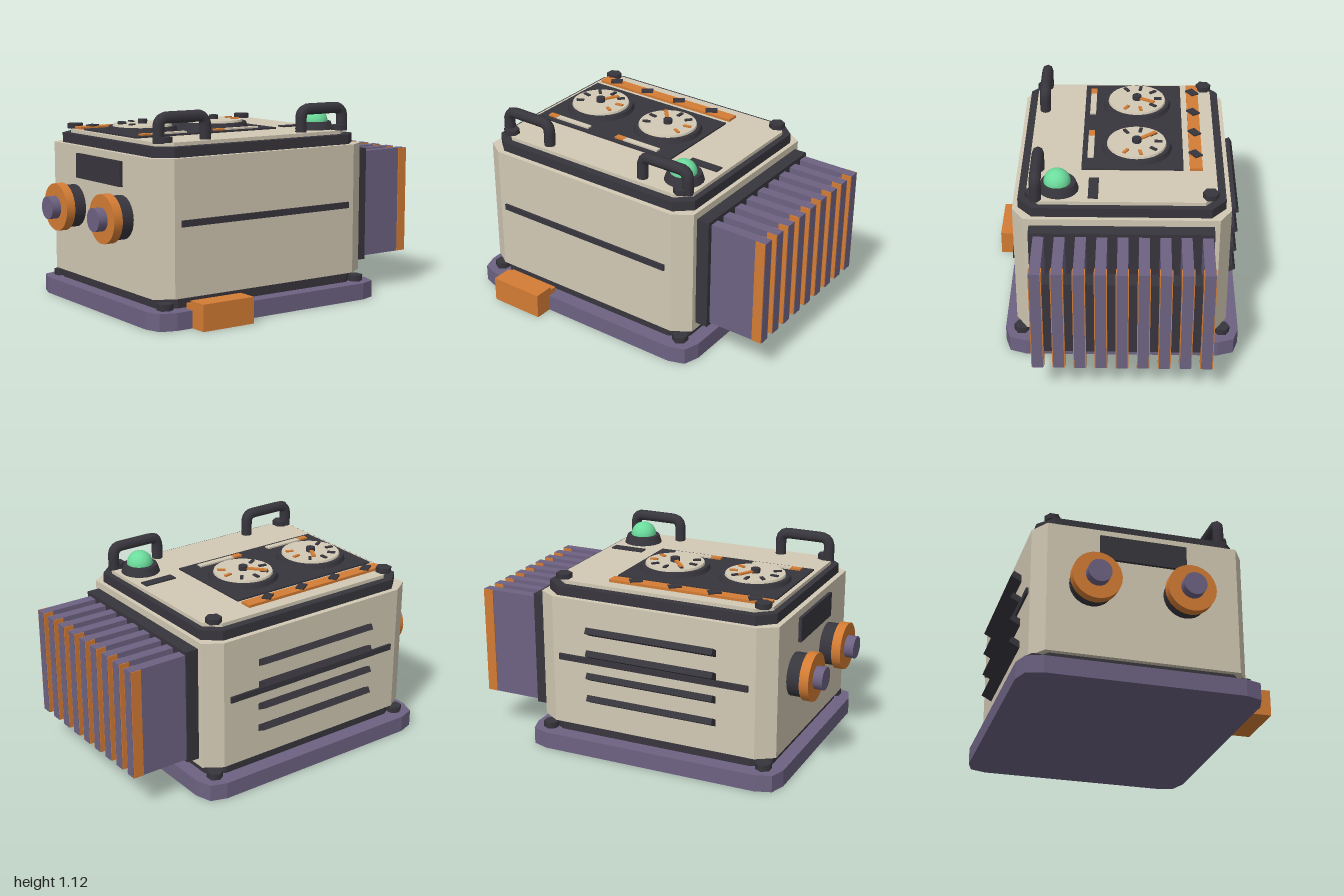
import * as THREE from 'three';

const paint = (name, color) => {
  const m = new THREE.MeshStandardMaterial({ color });
  m.name = name;
  return m;
};

export function createModel() {
  const cream = paint('cream', 0xd2c9b4), purple = paint('purple', 0x6d6282), dark = paint('charcoal', 0x38363d);
  const orange = paint('orange', 0xd47c34), green = paint('green', 0x6cdc9c);
  const root = new THREE.Group();
  root.name = 'fieldInstrument';

  const add = (name, geo, mat, parent = root) => {
    const mesh = new THREE.Mesh(geo, mat);
    mesh.name = name;
    parent.add(mesh);
    return mesh;
  };
  // Box given by its extents on each axis
  const box = (name, mat, x0, x1, y0, y1, z0, z1, parent) => {
    const m = add(name, new THREE.BoxGeometry(x1 - x0, y1 - y0, z1 - z0), mat, parent);
    m.position.set((x0 + x1) / 2, (y0 + y1) / 2, (z0 + z1) / 2);
    return m;
  };
  // Upright cylinder standing on y0
  const disc = (name, mat, x, y0, z, r, h, sides = 32, rTop = r, parent = root) => {
    const m = add(name, new THREE.CylinderGeometry(rTop, r, h, sides), mat, parent);
    m.position.set(x, y0 + h / 2, z);
    return m;
  };
  // Upright prism with cut corners; each corner is a list of insets [dx, dz]
  const slab = (name, mat, x0, x1, y0, y1, z0, z1, cuts) => {
    const pts = [], back = [...cuts].reverse();
    for (const [dx, dz] of cuts) pts.push(new THREE.Vector2(x0 + dx, -z1 + dz));
    for (const [dx, dz] of back) pts.push(new THREE.Vector2(x1 - dx, -z1 + dz));
    for (const [dx, dz] of cuts) pts.push(new THREE.Vector2(x1 - dx, -z0 - dz));
    for (const [dx, dz] of back) pts.push(new THREE.Vector2(x0 + dx, -z0 - dz));
    const geo = new THREE.ExtrudeGeometry(new THREE.Shape(pts), { depth: y1 - y0, bevelEnabled: false });
    geo.rotateX(-Math.PI / 2).translate(0, y0, 0);
    return add(name, geo, mat);
  };

  // Housing stack
  slab('basePlate', purple, -0.87, 0.64, 0, 0.095, -0.71, 0.61, [[0, 0.12], [0.03, 0.03], [0.12, 0]]);
  slab('plinth', dark, -0.79, 0.56, 0.095, 0.15, -0.62, 0.525, [[0, 0.07], [0.1, 0]]);
  slab('body', cream, -0.82, 0.59, 0.15, 0.89, -0.64, 0.545, [[0, 0.065], [0.1, 0]]);
  slab('collar', dark, -0.79, 0.565, 0.89, 0.945, -0.61, 0.515, [[0, 0.08], [0.09, 0]]);
  slab('lid', cream, -0.755, 0.53, 0.945, 0.965, -0.565, 0.47, [[0, 0.07], [0.08, 0]]);

  // Bolts on the base and on the lid
  for (const x of [-0.765, 0.535]) for (const z of [-0.615, 0.515]) disc('baseBolt', dark, x, 0.095, z, 0.045, 0.035, 6);
  for (const x of [-0.71, 0.475]) for (const z of [-0.525, 0.43]) disc('lidBolt', dark, x, 0.965, z, 0.045, 0.03, 6);

  // Carrying handles
  for (const x0 of [-0.735, 0.21]) {
    const x1 = x0 + 0.295, yTop = 1.093, z = 0.415, r = 0.05;
    const V = (x, y) => new THREE.Vector3(x, y, z);
    const path = new THREE.CurvePath();
    path.add(new THREE.LineCurve3(V(x0, 0.96), V(x0, yTop - r)));
    path.add(new THREE.QuadraticBezierCurve3(V(x0, yTop - r), V(x0, yTop), V(x0 + r, yTop)));
    path.add(new THREE.LineCurve3(V(x0 + r, yTop), V(x1 - r, yTop)));
    path.add(new THREE.QuadraticBezierCurve3(V(x1 - r, yTop), V(x1, yTop), V(x1, yTop - r)));
    path.add(new THREE.LineCurve3(V(x1, yTop - r), V(x1, 0.96)));
    add('handle', new THREE.TubeGeometry(path, 28, 0.032, 8), dark);
  }

  // Signal lamp and the slot behind it
  disc('lampBase', dark, 0.4, 0.965, 0.297, 0.11, 0.045, 24, 0.095);
  const dome = add('lampDome', new THREE.SphereGeometry(0.074, 24, 10, 0, Math.PI * 2, 0, Math.PI / 2), green);
  dome.position.set(0.4, 1.01, 0.303);
  box('lampSlot', dark, 0.305, 0.5, 0.964, 0.973, 0.08, 0.135);

  // Instrument panel with two gauges
  box('instrumentPanel', dark, -0.73, 0.215, 0.96, 0.974, -0.385, 0.18);
  [[-0.5, 28, 0.115], [-0.013, -40, 0.14]].forEach(([x, needleDeg, needleLen]) => {
    const gauge = new THREE.Group();
    gauge.name = 'gauge';
    gauge.position.set(x, 0, -0.125);
    root.add(gauge);
    disc('gaugeRim', dark, 0, 0.97, 0, 0.2, 0.03, 40, 0.19, gauge);
    disc('gaugeDial', cream, 0, 0.995, 0, 0.17, 0.017, 40, 0.165, gauge);
    // A radial bar pointing at an angle clockwise from the back
    const ray = (name, mat, deg, r0, r1, w, y0, y1) => {
      const pivot = new THREE.Group();
      pivot.name = name;
      pivot.rotation.y = -THREE.MathUtils.degToRad(deg);
      box(name, mat, -w / 2, w / 2, y0, y1, -r1, -r0, pivot);
      gauge.add(pivot);
    };
    for (let i = -3; i <= 3; i++) ray('gaugeTick', i > 1 ? orange : dark, i * 40, 0.1, 0.145, 0.018, 1.01, 1.02);
    ray('gaugeNeedle', orange, needleDeg, 0, needleLen, 0.022, 1.018, 1.027);
    disc('needleHub', dark, 0, 1.01, 0, 0.026, 0.027, 16, 0.026, gauge);
    // Level bar below the gauge
    const b = x - 0.172;
    box('levelFill', orange, b, b + 0.06, 0.972, 0.984, 0.115, 0.15);
    box('levelBar', cream, b + 0.06, b + 0.292, 0.972, 0.983, 0.115, 0.15);
  });

  // Warning strip with slanted marks
  box('warningStrip', orange, -0.73, 0.215, 0.96, 0.98, -0.49, -0.42);
  for (let i = 0; i < 4; i++) {
    const mark = box('warningMark', dark, -0.035, 0.035, 0.978, 0.988, -0.024, 0.024);
    mark.position.x = -0.635 + i * 0.2335;
    mark.position.z = -0.455;
    mark.rotation.y = 0.6;
  }

  // Front pedal
  box('pedal', orange, -0.655, -0.33, 0, 0.145, 0.59, 0.71);
  box('pedalHinge', orange, -0.655, -0.33, 0.095, 0.125, 0.55, 0.59);

  // Trim stripes on front and back, louvres on the back
  box('frontStripe', dark, -0.68, 0.45, 0.53, 0.565, 0.54, 0.557);
  box('backStripe', dark, -0.68, 0.45, 0.53, 0.565, -0.652, -0.635);
  for (let i = 0; i < 4; i++) {
    const slat = add('louvre', new THREE.BoxGeometry(0.755, 0.035, 0.08), dark);
    slat.position.set(-0.117, 0.722 - i * 0.132, -0.655);
    slat.rotation.x = 0.5;
  }

  // Left side knobs and plate
  for (const z of [-0.335, 0.18]) {
    for (const [name, mat, x0, x1, r] of [['knobSocket', dark, -0.895, -0.81, 0.12],
      ['knobRing', orange, -0.947, -0.895, 0.134], ['knobCap', purple, -1, -0.945, 0.064]]) {
      const m = add(name, new THREE.CylinderGeometry(r, r, x1 - x0, 28), mat);
      m.rotation.z = Math.PI / 2;
      m.position.set((x0 + x1) / 2, 0.548, z);
    }
  }
  box('sidePlate', dark, -0.838, -0.815, 0.712, 0.85, -0.29, 0.19);

  // Right side cooling fins with orange tips
  box('finFlange', dark, 0.585, 0.665, 0.195, 0.85, -0.545, 0.45);
  box('finSpacer', dark, 0.875, 0.97, 0.3, 0.745, -0.5, 0.39);
  for (let i = 0; i < 9; i++) {
    const z = -0.508 + i * 0.1128;
    box('fin', purple, 0.66, 1, 0.21, 0.83, z - 0.029, z + 0.029);
    box('finTip', orange, 0.94, 0.9985, 0.2115, 0.8285, z - 0.034, z + 0.034);
  }
  return root;
}
